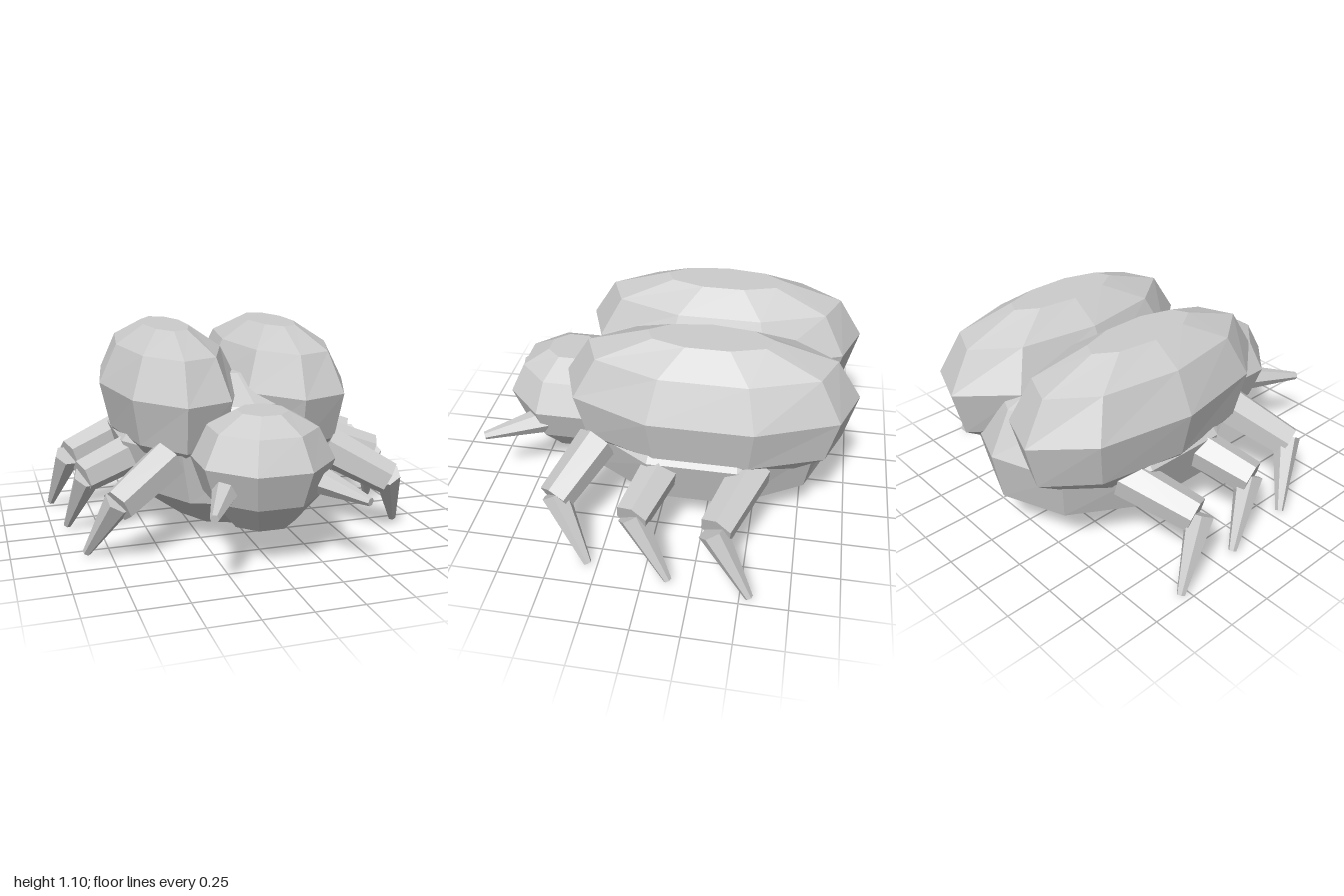
import * as THREE from 'three';

// Faceted solid from stacked rings [y, rx, rz], bottom to top, with flat caps
function loft(rings, sides, phase) {
  const pos = [];
  const point = ([y, rx, rz], i) => {
    const a = phase + (i % sides) / sides * Math.PI * 2;
    return [Math.sin(a) * rx, y, Math.cos(a) * rz];
  };
  const tri = (a, b, c) => pos.push(...a, ...b, ...c);
  const low = rings[0], high = rings[rings.length - 1];
  for (let i = 0; i < sides; i++) {
    for (let r = 0; r < rings.length - 1; r++) {
      const a = point(rings[r], i), b = point(rings[r], i + 1);
      const c = point(rings[r + 1], i + 1), d = point(rings[r + 1], i);
      tri(a, b, c);
      tri(a, c, d);
    }
    tri([0, low[0], 0], point(low, i + 1), point(low, i));
    tri([0, high[0], 0], point(high, i), point(high, i + 1));
  }
  const geo = new THREE.BufferGeometry();
  geo.setAttribute('position', new THREE.Float32BufferAttribute(pos, 3));
  geo.computeVertexNormals();
  return geo;
}

export function createModel() {
  const group = new THREE.Group();
  const shell = new THREE.MeshStandardMaterial({ color: 0xcccccc, flatShading: true });
  shell.name = 'shell grey';

  function add(name, geo, x = 0, y = 0, z = 0, parent = group) {
    const mesh = new THREE.Mesh(geo, shell);
    mesh.name = name;
    mesh.position.set(x, y, z);
    parent.add(mesh);
    return mesh;
  }

  // Tapered bar between two points
  function limb(name, from, to, r0, r1, parent) {
    const a = new THREE.Vector3(...from), b = new THREE.Vector3(...to);
    const dir = b.clone().sub(a);
    const mid = a.clone().add(b).multiplyScalar(0.5);
    const mesh = add(name, new THREE.CylinderGeometry(r1, r0, dir.length(), 6), mid.x, mid.y, mid.z, parent);
    mesh.quaternion.setFromUnitVectors(new THREE.Vector3(0, 1, 0), dir.normalize());
  }

  // Body: wide belly rising to a hump between the wing cases
  add('body', loft([
    [0.03, 0.285, 0.36], [0.25, 0.575, 0.70], [0.52, 0.655, 0.75],
    [0.75, 0.46, 0.63], [0.87, 0.2, 0.32],
  ], 10, 0), 0, 0, -0.20);

  // Two identical nine-sided wing cases
  for (const [name, x] of [['rightWingCase', -0.315], ['leftWingCase', 0.3]]) {
    add(name, loft([
      [0.40, 0.22, 0.50], [0.54, 0.32, 0.71], [0.79, 0.375, 0.775],
      [1.0, 0.275, 0.645], [1.105, 0.12, 0.325],
    ], 9, -Math.PI / 2), x, 0, -0.24);
  }

  // Head
  add('head', loft([
    [0.195, 0.17, 0.17], [0.345, 0.30, 0.30], [0.53, 0.365, 0.365],
    [0.69, 0.28, 0.285], [0.77, 0.13, 0.14],
  ], 8, Math.PI / 8), -0.012, 0, 0.56);

  // Hip, knee, shin top and foot points for each leg on the left side
  const legs = {
    front: [[0.44, 0.485, 0.33], [0.735, 0.32, 0.49], [0.725, 0.345, 0.49], [0.87, 0.018, 0.30]],
    middle: [[0.50, 0.455, -0.05], [0.845, 0.35, 0.065], [0.82, 0.35, 0.07], [0.915, 0.018, -0.13]],
    back: [[0.50, 0.46, -0.50], [0.86, 0.35, -0.36], [0.87, 0.355, -0.345], [0.96, 0.018, -0.55]],
  };
  for (const side of [1, -1]) {
    const sideName = side > 0 ? 'left' : 'right';
    const flip = ([x, y, z]) => [side * x, y, z];

    for (const [key, points] of Object.entries(legs)) {
      const [hip, knee, shin, foot] = points.map(flip);
      const leg = new THREE.Group();
      leg.name = `${key}Leg ${sideName}`;
      limb('upperLeg', hip, knee, 0.11, 0.092, leg);
      limb('lowerLeg', shin, foot, 0.075, 0.022, leg);
      group.add(leg);
    }

    // Pincers at the mouth
    limb(`${sideName}Pincer`, flip([0.23, 0.43, 0.68]), flip([0.385, 0.39, 0.985]), 0.075, 0.022, group);
  }

  return group;
}
